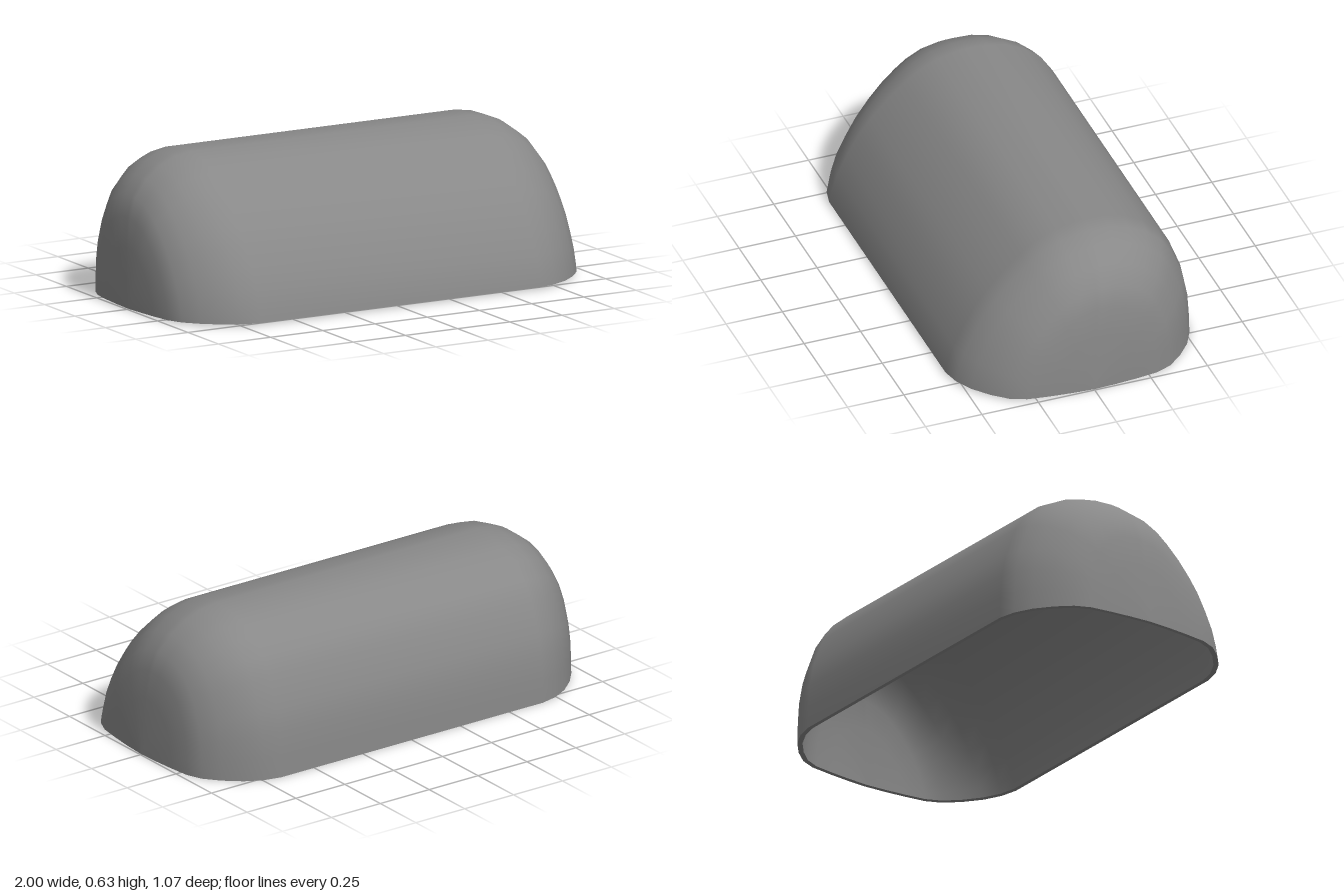
import * as THREE from 'three';

// Side profile as [z, y], from the front rim over the crown to the back rim
const PROFILE = [
  [0.535, 0.012], [0.525, 0.06], [0.5, 0.14], [0.455, 0.23], [0.405, 0.315], [0.35, 0.385],
  [0.28, 0.46], [0.205, 0.525], [0.14, 0.572], [0.055, 0.611], [-0.04, 0.629], [-0.08, 0.632], [-0.17, 0.628],
  [-0.255, 0.606], [-0.335, 0.566], [-0.405, 0.506], [-0.455, 0.43], [-0.505, 0.3],
  [-0.525, 0.2], [-0.532, 0.1], [-0.535, 0.003],
];
// Rounded end as [x, height scale, depth scale] of the profile
const END = [
  [0.67, 1, 1], [0.745, 0.982, 0.968], [0.82, 0.933, 0.895], [0.89, 0.85, 0.785], [0.945, 0.735, 0.665],
  [0.973, 0.6, 0.54], [0.986, 0.4, 0.36], [0.995, 0.2, 0.18], [1, 0, 0],
];
const SECTIONS = [...END.map(([x, sy, sz]) => [-x, sy, sz]).reverse(), ...END];
const BASE = 0.0075;
const WALL = 0.018;

// Grid of points: the profile shrinks about the base centre towards each end
function shellPoints(t) {
  return SECTIONS.map(([x, sy, sz]) => PROFILE.map(([z, y]) => new THREE.Vector3(
    x * (1 - t),
    BASE + (y - BASE) * sy * (1 - t / 0.63),
    z * sz * (1 - t / 0.535),
  )));
}

// Skin a grid of rows with quads
function skin(rows, flip) {
  const n = rows[0].length;
  const index = [];
  for (let i = 0; i < rows.length - 1; i++) {
    for (let j = 0; j < n - 1; j++) {
      const a = i * n + j, b = a + 1, c = a + n, d = c + 1;
      if (flip) index.push(a, b, c, b, d, c);
      else index.push(a, c, b, b, c, d);
    }
  }
  const geometry = new THREE.BufferGeometry().setFromPoints(rows.flat());
  geometry.setIndex(index);
  geometry.computeVertexNormals();
  return geometry;
}

export function createModel() {
  const group = new THREE.Group();
  group.name = 'domedCover';
  const material = new THREE.MeshStandardMaterial({ color: 0x888888 });
  const add = (name, geometry) => {
    const mesh = new THREE.Mesh(geometry, material);
    mesh.name = name;
    group.add(mesh);
  };

  const outer = shellPoints(0);
  const inner = shellPoints(WALL);
  add('outerShell', skin(outer, false));
  add('innerShell', skin(inner, true));

  // Narrow rim joining the two skins along the open bottom
  const last = PROFILE.length - 1;
  const edge = (rows, j) => rows.map((row) => row[j]);
  add('frontRim', skin([edge(outer, 0), edge(inner, 0)], false));
  add('backRim', skin([edge(outer, last), edge(inner, last)], true));
  return group;
}
